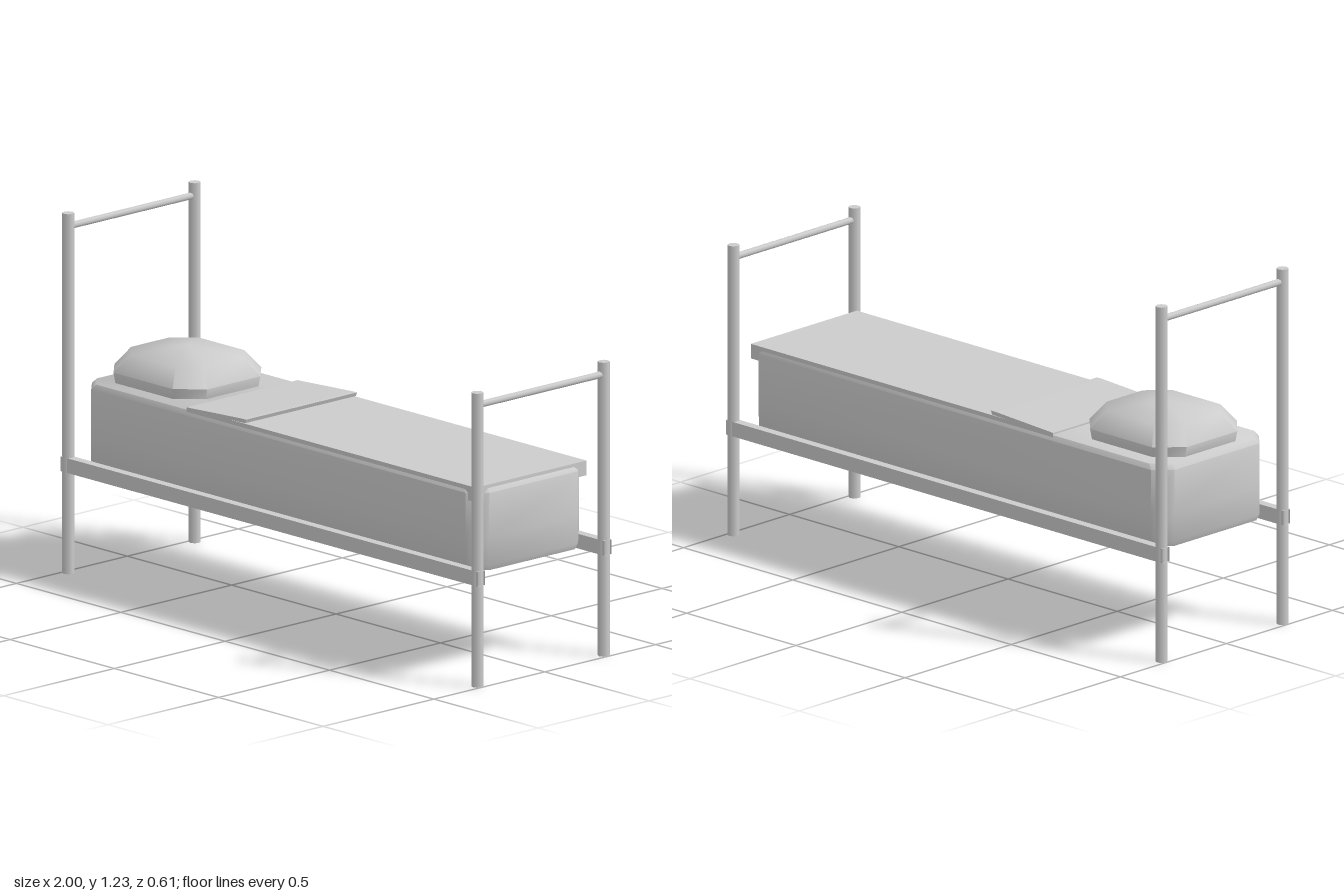
import * as THREE from 'three';
import { toCreasedNormals } from 'three/addons/utils/BufferGeometryUtils.js';

const material = new THREE.MeshStandardMaterial({ color: 0xcccccc, side: THREE.DoubleSide });

function addMesh(parent, name, geometry, x = 0, y = 0, z = 0) {
  const mesh = new THREE.Mesh(geometry, material);
  mesh.name = name;
  mesh.position.set(x, y, z);
  parent.add(mesh);
  return mesh;
}

// Stacks chamfered rectangles [y, halfX, halfZ, chamfer] and closes the top at apexY
function loft(rings, apexY, crease, closedBottom = false) {
  const points = [], index = [];
  for (const [y, a, b, c] of rings) {
    points.push(a, y, b - c, a - c, y, b, c - a, y, b, -a, y, b - c,
      -a, y, c - b, c - a, y, -b, a - c, y, -b, a, y, c - b);
  }
  const n = 8, last = (rings.length - 1) * n, apex = rings.length * n;
  points.push(0, apexY, 0, 0, rings[0][0], 0);
  for (let i = 0; i < n; i++) {
    const j = (i + 1) % n;
    for (let r = 0; r < last; r += n) {
      index.push(r + i, r + n + i, r + j, r + j, r + n + i, r + n + j);
    }
    index.push(last + i, apex, last + j);
    if (closedBottom) index.push(i, j, apex + 1);
  }
  const geometry = new THREE.BufferGeometry();
  geometry.setAttribute('position', new THREE.Float32BufferAttribute(points, 3));
  geometry.setIndex(index);
  return toCreasedNormals(geometry, crease);
}

// Box without the faces whose numbers are listed (order: +x -x +y -y +z -z)
function openBox(w, h, d, missing) {
  const geometry = new THREE.BoxGeometry(w, h, d);
  const index = Array.from(geometry.index.array);
  geometry.setIndex(index.filter((_, i) => !missing.includes(Math.floor(i / 6))));
  geometry.clearGroups();
  return geometry;
}

export function createModel() {
  const model = new THREE.Group();
  model.name = 'bed';

  // Frame: two end frames of posts and a crossbar, joined by side rails
  const frame = new THREE.Group();
  frame.name = 'frame';
  model.add(frame);
  const ends = [
    { name: 'head', x: -0.98, height: 1.225, bar: 1.18 },
    { name: 'foot', x: 0.98, height: 1.0, bar: 0.957 },
  ];
  for (const { name, x, height, bar } of ends) {
    for (const z of [-0.285, 0.285]) {
      addMesh(frame, name + 'Post', new THREE.CylinderGeometry(0.02, 0.02, height, 8), x, height / 2, z);
    }
    addMesh(frame, name + 'Bar', new THREE.CylinderGeometry(0.012, 0.012, 0.57, 8), x, bar, 0)
      .rotation.x = Math.PI / 2;
  }
  for (const z of [-0.285, 0.285]) {
    addMesh(frame, 'sideRail', openBox(2, 0.05, 0.032, [0, 1]), 0, 0.37, z);
  }

  // Mattress, open underneath
  addMesh(model, 'mattress', loft([
    [0.37, 0.945, 0.248, 0.055],
    [0.39, 0.952, 0.255, 0.055],
    [0.485, 0.952, 0.256, 0.055],
    [0.635, 0.952, 0.255, 0.055],
    [0.652, 0.937, 0.247, 0.055],
  ], 0.653, 0.9), -0.005);

  // Blanket with short tucked edges
  addMesh(model, 'blanket', openBox(1.385, 0.05, 0.5, [1, 3]), 0.2425, 0.635, 0);

  // Turned-back fold, a thin wedge rising toward the foot
  const wedge = new THREE.Shape([
    new THREE.Vector2(-0.45, 0.655),
    new THREE.Vector2(-0.17, 0.662),
    new THREE.Vector2(-0.165, 0.675),
    new THREE.Vector2(-0.185, 0.675),
    new THREE.Vector2(-0.45, 0.661),
  ]);
  addMesh(model, 'blanketFold',
    new THREE.ExtrudeGeometry(wedge, { depth: 0.5, bevelEnabled: false }), 0, 0, -0.25);

  // Pillow
  addMesh(model, 'pillow', loft([
    [0.655, 0.215, 0.196, 0.078],
    [0.69, 0.222, 0.2, 0.08],
    [0.75, 0.178, 0.156, 0.07],
  ], 0.777, 0.85, true), -0.712);

  return model;
}
